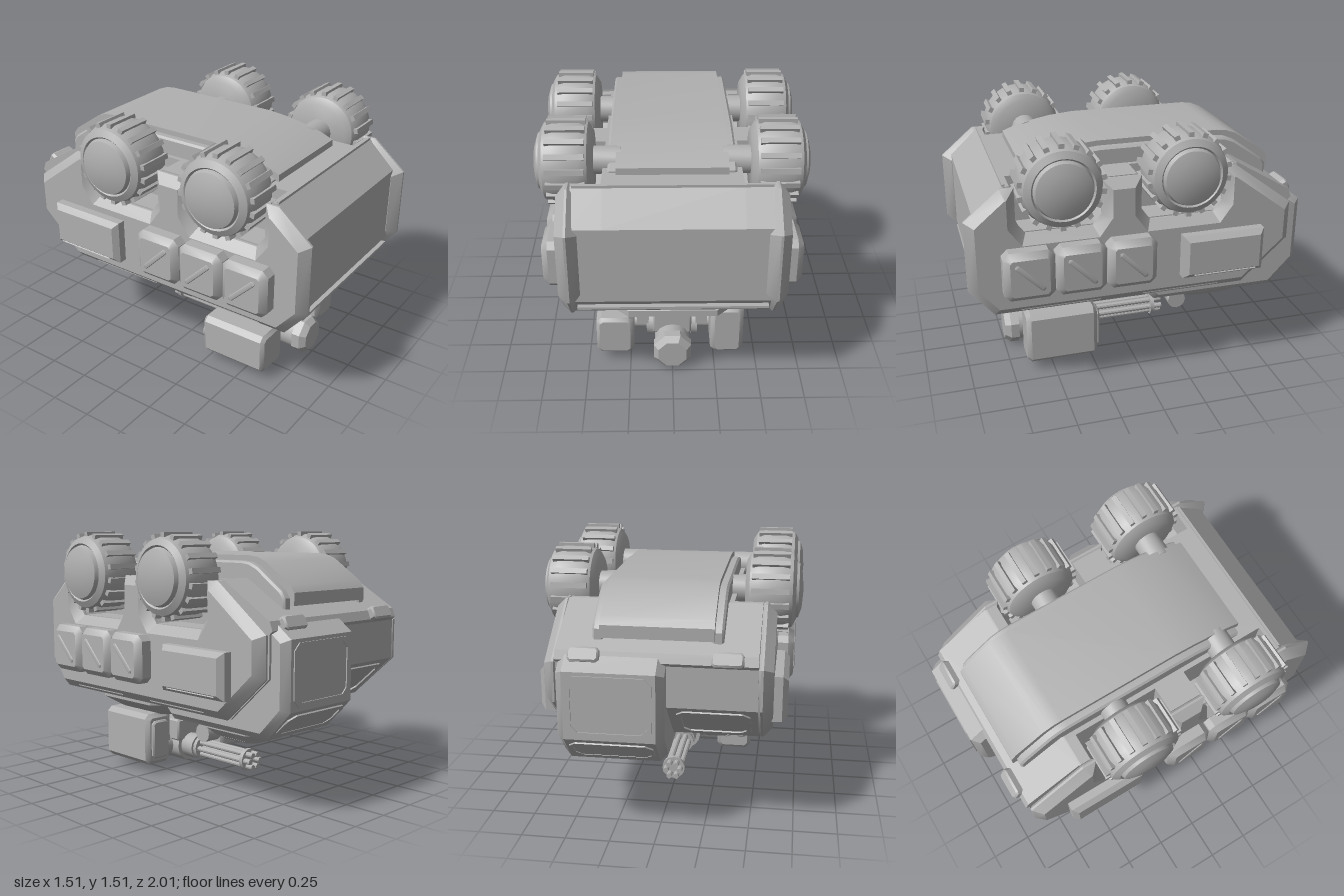
import * as THREE from 'three';
import { toCreasedNormals } from 'three/addons/utils/BufferGeometryUtils.js';

const grey = new THREE.MeshStandardMaterial({ color: 0xb0b0b0 });
grey.name = 'armour grey';

export function createModel() {
  const model = new THREE.Group();
  model.name = 'armouredCar';

  const add = (name, geo, x = 0, y = 0, z = 0, rx = 0, ry = 0, rz = 0, parent = model) => {
    const mesh = new THREE.Mesh(toCreasedNormals(geo, 0.6), grey);
    mesh.name = name;
    mesh.position.set(x, y, z);
    mesh.rotation.set(rx, ry, rz);
    parent.add(mesh);
    return mesh;
  };

  // Side profile of [z, y] points, extruded along x from x0 to x1
  const slab = (pts, x0, x1, bevel = 0, holes = []) => {
    const v = (list) => list.map(([z, y]) => new THREE.Vector2(-z, y));
    const shape = new THREE.Shape(v(pts));
    holes.forEach((h) => shape.holes.push(new THREE.Path(v(h))));
    const geo = new THREE.ExtrudeGeometry(shape, {
      depth: x1 - x0 - 2 * bevel, bevelEnabled: bevel > 0, bevelSegments: 1,
      bevelThickness: bevel, bevelSize: bevel, bevelOffset: -bevel,
    });
    return geo.translate(0, 0, bevel).rotateY(Math.PI / 2).translate(x0, 0, 0);
  };
  const bothSides = (name, pts, x0, x1, bevel, holes) => {
    add(name + 'Left', slab(pts, x0, x1, bevel, holes));
    add(name + 'Right', slab(pts, -x1, -x0, bevel, holes));
  };

  // Rectangle with cut corners
  const cutRect = (w, h, c) => [
    [-w / 2 + c, -h / 2], [w / 2 - c, -h / 2], [w / 2, -h / 2 + c], [w / 2, h / 2 - c],
    [w / 2 - c, h / 2], [-w / 2 + c, h / 2], [-w / 2, h / 2 - c], [-w / 2, -h / 2 + c],
  ].map(([x, y]) => new THREE.Vector2(x, y));

  // Chamfered block, facing along z
  const block = (w, h, d, corner, bevel, thick = bevel) => new THREE.ExtrudeGeometry(
    new THREE.Shape(cutRect(w, h, corner)), {
      depth: d - 2 * thick, bevelEnabled: true, bevelSegments: 1,
      bevelThickness: thick, bevelSize: bevel, bevelOffset: -bevel,
    }).translate(0, 0, thick - d / 2);

  // Window surround, facing along z
  const frame = (w, h, border, t) => {
    const shape = new THREE.Shape(cutRect(w, h, 0.04));
    shape.holes.push(new THREE.Path(cutRect(w - 2 * border, h - 2 * border, 0.035)));
    return new THREE.ExtrudeGeometry(shape, { depth: t, bevelEnabled: false });
  };
  const rod = (r, len, sides = 20, r2 = r) => new THREE.CylinderGeometry(r, r2, len, sides);
  const box = (w, h, d) => new THREE.BoxGeometry(w, h, d);

  // Hull: a core with recessed front, and side walls notched for the wheels
  const wheelZ = [0.48, -0.23];
  const notch = (c, w) => [
    [c + w, 1.26], [c + w, 1.06], [c + w - 0.05, 0.99],
    [c - w + 0.05, 0.99], [c - w, 1.06], [c - w, 1.26],
  ];
  const rear = [[-0.55, 1.26], [-0.9, 1.0], [-0.9, 0.77], [-0.62, 0.515]];
  const recess = [[0.84, 0.515], [0.945, 0.65], [0.945, 1.1], [0.77, 1.26]];
  const front = [[0.86, 0.515], [1, 0.68], [1, 1.09], [0.8, 1.26]];
  const wells = (w) => wheelZ.flatMap((z) => notch(z, w));
  add('hullCore', slab([...recess, ...rear], -0.38, 0.38));
  bothSides('hullFiller', [...recess, ...wells(0.26), ...rear], 0.37, 0.54);
  bothSides('hullSide', [...front, ...wells(0.24), ...rear], 0.5, 0.617, 0.052);
  add('frontLedge', box(1.04, 0.015, 0.04), 0, 0.605, 0.925);
  add('frontSeam', box(1.06, 0.015, 0.015), 0, 1.262, 0.77);

  // Long rounded cover on top, with lower side rails
  const cover = [
    [0.64, 1.2], [0.64, 1.3], [0.56, 1.33], [0.45, 1.357], [0.34, 1.377], [0.2, 1.39],
    [-0.53, 1.39], [-0.59, 1.383], [-0.65, 1.36], [-0.83, 1.24], [-0.86, 1.2],
    [-0.86, 1.13], [-0.81, 1.13], [-0.62, 1.24], [-0.5, 1.24],
  ];
  add('cover', slab(cover, -0.305, 0.305));
  const rail = cover.map(([z, y]) => [z * 0.965, y - 0.03]);
  bothSides('coverRail', rail, 0.29, 0.352, 0.012);

  // Plate and clips on the sloping end
  add('slopePlate', slab([[-0.56, 1.2], [-0.56, 1.27], [-0.9, 1.07], [-0.92, 1.02], [-0.88, 0.98]], -0.54, 0.54));
  for (const s of [-1, 1]) {
    add('clip', block(0.17, 0.08, 0.06, 0.015, 0.01), s * 0.38, 1.05, -0.915, 0.5);
  }

  // Offset cab block with window surrounds
  add('cab', slab([
    [-0.03, 0.56], [-0.03, 0.5], [-0.1, 0.43], [-0.84, 0.43], [-1, 0.6],
    [-1, 0.98], [-0.89, 1.06], [-0.5, 1.06], [-0.5, 0.56],
  ], -0.055, 0.525, 0.04));
  add('cabWindow', frame(0.46, 0.34, 0.025, 0.009), 0.235, 0.79, -0.998, 0, Math.PI);
  add('cabLowerWindow', frame(0.46, 0.19, 0.02, 0.009), 0.235, 0.517, -0.92, -0.82, Math.PI);
  add('sideWindow', frame(0.4, 0.3, 0.025, 0.009), -0.3, 0.642, -0.761, -0.83, Math.PI);

  // Side stowage boxes with diagonal bars, doors and seams
  const door = [[-0.21, 0.64], [-0.21, 0.9], [-0.7, 0.9], [-0.7, 0.64]];
  const doorHole = [[-0.3, 0.69], [-0.62, 0.69], [-0.62, 0.73], [-0.58, 0.79], [-0.3, 0.79]];
  bothSides('door', door, 0.55, 0.695, 0.03, [doorHole]);
  for (const s of [-1, 1]) {
    for (const z of [0.675, 0.385, 0.095]) {
      add('stowageBox', block(0.285, 0.285, 0.2, 0.035, 0.035, 0.035), s * 0.615, 0.79, z, 0, Math.PI / 2);
      add('diagonalBar', new THREE.CapsuleGeometry(0.016, 0.19, 3, 8).scale(0.6, 1, 1),
        s * 0.713, 0.79, z, Math.PI / 4);
    }
    for (const z of [0.485, -0.23]) add('sideSeam', box(0.01, 0.012, 0.46), s * 0.585, 0.54, z);
  }

  // Wheels: lathed tyre with domed hub, and tread bars around it
  const tyre = [
    [0, 0.43], [0.17, 0.43], [0.21, 0.455], [0.229, 0.5], [0.229, 0.64], [0.212, 0.695],
    [0.175, 0.715], [0.165, 0.705], [0.155, 0.73], [0.1, 0.748], [0, 0.755],
  ].map(([r, x]) => new THREE.Vector2(r, x));
  for (const s of [0, 1]) {
    for (const z of wheelZ) {
      const wheel = new THREE.Group();
      wheel.name = 'wheel';
      wheel.position.set(0, 1.272, z);
      wheel.rotation.y = s * Math.PI;
      add('tyre', new THREE.LatheGeometry(tyre, 40), 0, 0, 0, 0, 0, -Math.PI / 2, wheel);
      add('axle', rod(0.08, 0.2), 0.38, 0, 0, 0, 0, Math.PI / 2, wheel);
      for (let i = 0; i < 18; i++) {
        const a = (i / 18) * Math.PI * 2;
        add('tread', box(0.21, 0.026, 0.03), 0.572, 0.231 * Math.cos(a), 0.231 * Math.sin(a), a, 0, 0, wheel);
      }
      model.add(wheel);
    }
  }

  // Turret base and hatches underneath
  const flat = Math.PI / 2;
  add('turretBase', block(0.9, 0.86, 0.2, 0.2, 0.13, 0.08), 0, 0.48, 0.4, flat);
  add('turretTail', block(0.34, 0.2, 0.12, 0.03, 0.02), 0, 0.46, 0.1, flat);
  add('cabHatch', block(0.38, 0.46, 0.14, 0.08, 0.06, 0.05), 0.26, 0.43, -0.49, flat);
  add('cabHatchPanel', block(0.24, 0.28, 0.03, 0.05, 0.01), 0.26, 0.36, -0.49, flat);
  add('hullHatch', block(0.3, 0.34, 0.1, 0.07, 0.04), -0.27, 0.51, -0.38, flat);
  add('lampBar', rod(0.035, 0.3, 12), 0.24, 0.365, -0.26, 0, 0, flat);
  for (const x of [0.11, 0.37]) add('lamp', rod(0.055, 0.1, 12), x, 0.36, -0.27, 0, 0, flat);

  // Gun cradle: brackets, trunnions and the two side pods
  for (const s of [-1, 1]) {
    add('bracket', box(0.07, 0.3, 0.16), s * 0.18, 0.31, 0.42);
    add('trunnion', rod(0.045, 0.16), s * 0.19, 0.13, 0.42, 0, 0, flat);
    add('trunnionDisc', rod(0.08, 0.04), s * 0.135, 0.12, 0.42, 0, 0, flat);
  }
  add('ammoPod', block(0.195, 0.325, 0.43, 0.03, 0.025), 0.325, 0.22, 0.445);
  add('ammoPodCover', block(0.13, 0.24, 0.03, 0.02, 0.01), 0.325, 0.22, 0.225);
  add('launcherPod', block(0.22, 0.25, 0.43, 0.03, 0.02), -0.34, 0.185, 0.445);
  for (const x of [-0.39, -0.29]) {
    add('launcherTube', new THREE.TorusGeometry(0.034, 0.012, 8, 20), x, 0.185, 0.23);
    add('launcherCap', rod(0.022, 0.02, 16), x, 0.185, 0.227, flat);
  }

  // Rotary gun pointing along -z
  const gunY = 0.115;
  const along = (name, r, z0, z1, sides, x = 0, y = gunY, r2 = r) =>
    add(name, rod(r, z1 - z0, sides, r2).rotateY(Math.PI / 8).rotateX(flat), x, y, (z0 + z1) / 2);
  along('gunEnd', 0.12, 0.66, 0.71, 8);
  along('gunEndCap', 0.09, 0.71, 0.745, 8, 0, gunY, 0.12);
  along('gunBody', 0.105, 0.3, 0.67, 16);
  along('gunNeck', 0.08, 0.2, 0.31, 16);
  along('gunCollar', 0.075, 0.165, 0.19, 20);
  along('gunClamp', 0.07, -0.25, -0.225, 20);
  along('gunSpindle', 0.018, -0.24, 0.2, 10);
  for (let i = 0; i < 6; i++) {
    const a = (i / 6) * Math.PI * 2;
    along('barrel', 0.017, -0.3, 0.2, 10, 0.043 * Math.cos(a), gunY + 0.043 * Math.sin(a));
  }
  add('gunFeed', block(0.23, 0.14, 0.3, 0.01, 0.01), 0, 0.225, 0.44);

  return model;
}
